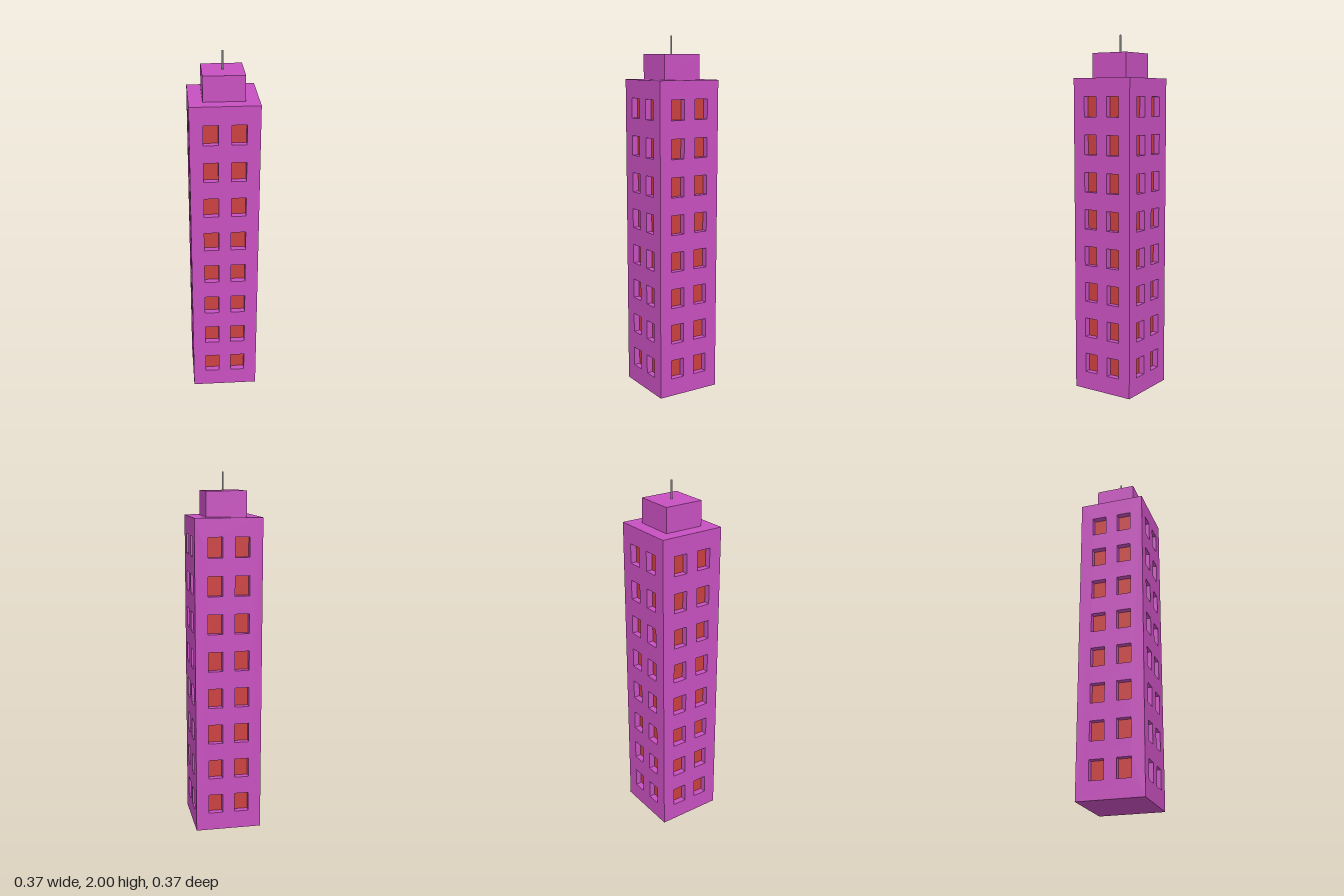
import * as THREE from 'three';

const HALF = 0.185, HEIGHT = 1.763, RECESS = 0.037;
const FLOORS = 8, PITCH = 0.2074, FIRST = 0.156;
const WIN_W = 0.08, WIN_H = 0.109, WIN_X = 0.074;

const wallMat = new THREE.MeshStandardMaterial({ color: 0xc850c0 });
const paneMat = new THREE.MeshStandardMaterial({ color: 0xcc4040 });
const greyMat = new THREE.MeshStandardMaterial({ color: 0xcccccc });

function rectangle(Type, x0, y0, x1, y1) {
  const r = new Type();
  r.moveTo(x0, y0);
  r.lineTo(x1, y0);
  r.lineTo(x1, y1);
  r.lineTo(x0, y1);
  r.closePath();
  return r;
}

function addMesh(parent, name, geometry, material, x = 0, y = 0, z = 0) {
  const mesh = new THREE.Mesh(geometry, material);
  mesh.name = name;
  mesh.position.set(x, y, z);
  parent.add(mesh);
  return mesh;
}

// Window centres, shared by all four sides
const windows = [];
for (let i = 0; i < FLOORS; i++) {
  for (const side of [-1, 1]) windows.push([side * WIN_X, FIRST + i * PITCH]);
}

// Wall slab with window openings, its back edges mitred at the corners
function wallGeometry() {
  const shape = rectangle(THREE.Shape, -HALF, 0, HALF, HEIGHT);
  for (const [x, y] of windows) {
    shape.holes.push(rectangle(THREE.Path,
      x - WIN_W / 2, y - WIN_H / 2, x + WIN_W / 2, y + WIN_H / 2));
  }
  const g = new THREE.ExtrudeGeometry(shape, { depth: RECESS, bevelEnabled: false });
  const p = g.attributes.position;
  for (let i = 0; i < p.count; i++) {
    if (p.getZ(i) < RECESS / 2 && Math.abs(p.getX(i)) > HALF - 0.001) {
      p.setX(i, Math.sign(p.getX(i)) * (HALF - RECESS));
    }
  }
  g.computeVertexNormals();
  return g;
}

export function createModel() {
  const tower = new THREE.Group();
  tower.name = 'tower';

  // Four identical facades
  const wall = wallGeometry();
  const pane = new THREE.BoxGeometry(WIN_W, WIN_H, 0.002);
  for (let k = 0; k < 4; k++) {
    const facade = new THREE.Group();
    facade.name = 'facade';
    facade.rotation.y = k * Math.PI / 2;
    addMesh(facade, 'wall', wall, wallMat, 0, 0, HALF - RECESS);
    for (const [x, y] of windows) {
      addMesh(facade, 'windowPane', pane, paneMat, x, y, HALF - RECESS + 0.001);
    }
    tower.add(facade);
  }

  // Solid core closing the roof and base
  const inner = 2 * (HALF - RECESS);
  addMesh(tower, 'core', new THREE.BoxGeometry(inner, HEIGHT, inner), wallMat, 0, HEIGHT / 2, 0);

  // Roof block and antenna
  const blockH = 1.9 - HEIGHT;
  addMesh(tower, 'roofBlock', new THREE.BoxGeometry(0.222, blockH, 0.222), wallMat,
    0, HEIGHT + blockH / 2, 0);
  addMesh(tower, 'antenna', new THREE.CylinderGeometry(0.0045, 0.0045, 0.1, 8), greyMat, 0, 1.95, 0);

  return tower;
}
